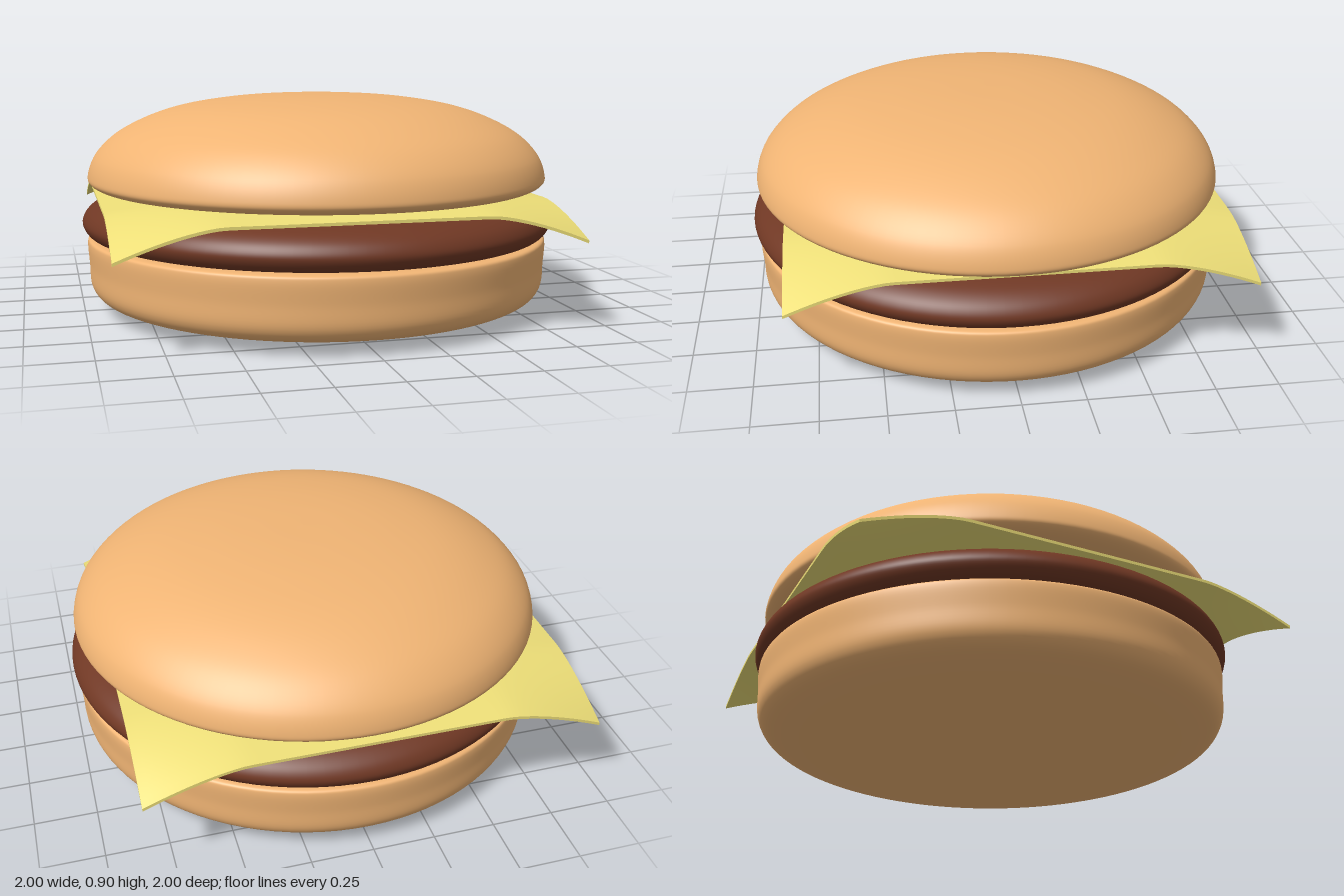
import * as THREE from 'three';

// Smooth round part: profile of [radius, height] from bottom centre to top centre
function roundPart(name, color, profile) {
  const curve = new THREE.CatmullRomCurve3(profile.map(([r, y]) => new THREE.Vector3(r, y, 0)));
  const points = curve.getPoints(profile.length * 6)
    .map((p) => new THREE.Vector2(Math.max(p.x, 0), p.y));
  const mesh = new THREE.Mesh(
    new THREE.LatheGeometry(points, 96),
    new THREE.MeshStandardMaterial({ color })
  );
  mesh.name = name;
  return mesh;
}

// Thin square slice whose edges sag slightly and whose corners droop
function cheeseSlice() {
  const half = 0.9;
  const geometry = new THREE.BoxGeometry(half * 2, 0.012, half * 2, 48, 1, 48);
  const pos = geometry.attributes.position;
  const bend = (u) => Math.pow(Math.max(0, (Math.abs(u) - 0.5) / 0.4), 1.5);
  for (let i = 0; i < pos.count; i++) {
    const a = bend(pos.getX(i));
    const b = bend(pos.getZ(i));
    pos.setY(i, pos.getY(i) - 0.04 * (a + b) - 0.07 * a * b);
  }
  geometry.computeVertexNormals();
  const mesh = new THREE.Mesh(geometry, new THREE.MeshStandardMaterial({ color: 0xeedf78 }));
  mesh.name = 'cheeseSlice';
  mesh.position.set(-0.04, 0.516, -0.04);
  return mesh;
}

export function createModel() {
  const group = new THREE.Group();
  group.name = 'cheeseburger';
  const bun = 0xf0b474;

  group.add(roundPart('bottomBun', bun, [
    [0, 0], [0.4, 0.006], [0.7, 0.02], [0.87, 0.04], [0.94, 0.068], [0.968, 0.11],
    [0.975, 0.2], [0.98, 0.285], [0.975, 0.303], [0.95, 0.31], [0.6, 0.31], [0, 0.31],
  ]));

  group.add(roundPart('patty', 0x703824, [
    [0, 0.308], [0.6, 0.308], [0.92, 0.31], [0.975, 0.327], [1, 0.37],
    [0.985, 0.41], [0.94, 0.445], [0.86, 0.47], [0.7, 0.487], [0.4, 0.498], [0, 0.5],
  ]));

  group.add(cheeseSlice());

  group.add(roundPart('topBun', bun, [
    [0, 0.51], [0.5, 0.51], [0.85, 0.514], [0.94, 0.522], [0.972, 0.545], [0.972, 0.575],
    [0.945, 0.645], [0.87, 0.725], [0.75, 0.793], [0.6, 0.845], [0.4, 0.88], [0.2, 0.896], [0, 0.9],
  ]));

  return group;
}
